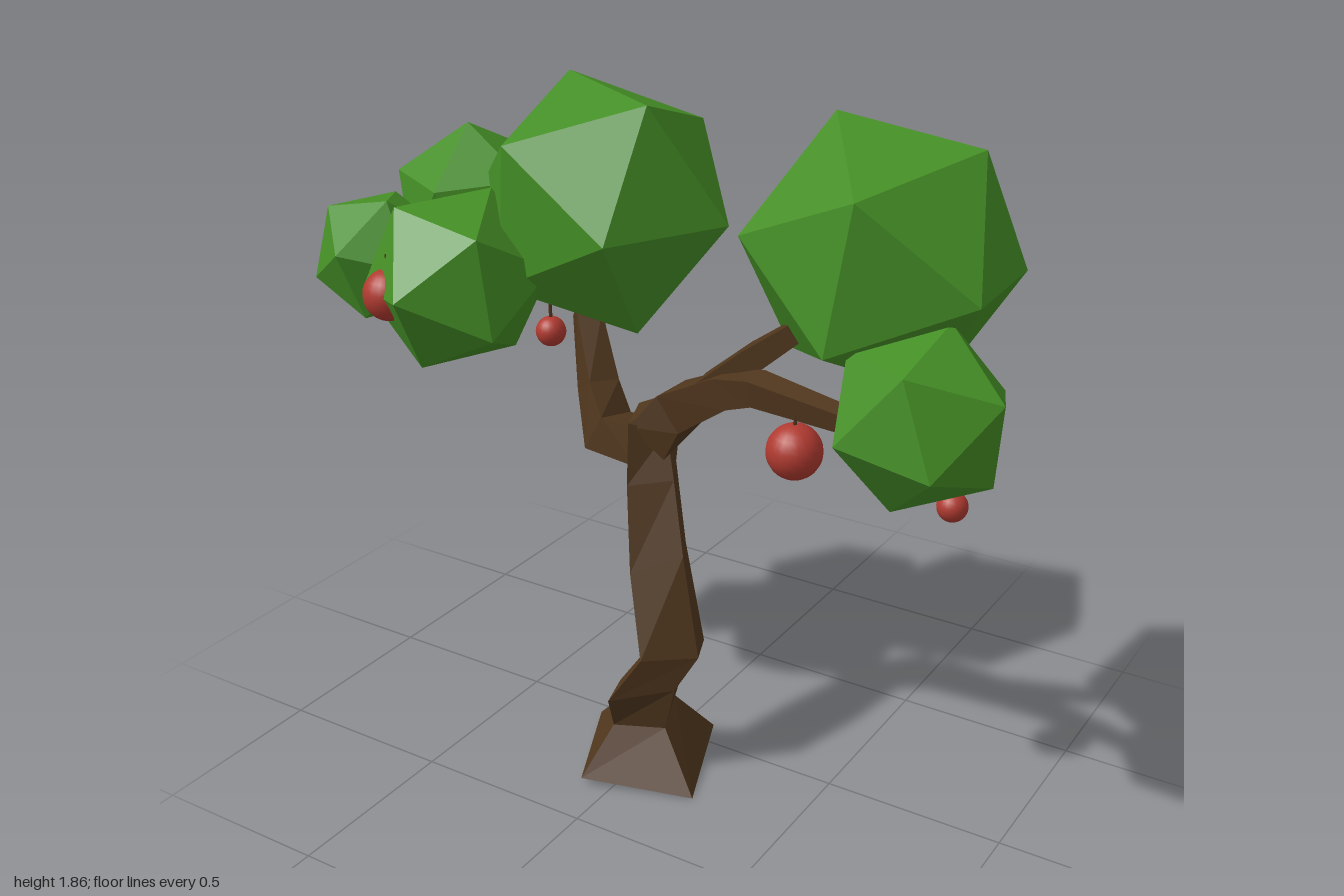
import * as THREE from 'three';

const V = (a) => new THREE.Vector3(...a);
const flat = (color) => new THREE.MeshStandardMaterial({ color, flatShading: true });
const bark = flat(0x4f361d);
const leaf = flat(0x458f26);
const fruit = new THREE.MeshStandardMaterial({ color: 0xb03a30 });

// Skin between rings of corners (counter-clockwise around the limb), closed at both ends
function loft(rings) {
  const pos = [];
  const tri = (...pts) => pts.forEach((p) => pos.push(p.x, p.y, p.z));
  const n = rings[0].length;
  for (let i = 0; i + 1 < rings.length; i++) {
    for (let j = 0; j < n; j++) {
      const k = (j + 1) % n;
      tri(rings[i][j], rings[i][k], rings[i + 1][k]);
      tri(rings[i][j], rings[i + 1][k], rings[i + 1][j]);
    }
  }
  const first = rings[0], last = rings[rings.length - 1];
  for (let j = 1; j + 1 < n; j++) {
    tri(first[0], first[j + 1], first[j]);
    tri(last[0], last[j], last[j + 1]);
  }
  const g = new THREE.BufferGeometry();
  g.setAttribute('position', new THREE.Float32BufferAttribute(pos, 3));
  g.computeVertexNormals();
  return g;
}

// Four-sided branch along points [x, y, z, radius]
function branch(points) {
  const c = points.map((p) => V(p.slice(0, 3)));
  return loft(points.map((p, i) => {
    const t = c[Math.min(i + 1, c.length - 1)].clone().sub(c[Math.max(i - 1, 0)]).normalize();
    const u = new THREE.Vector3(0, 1, 0).cross(t).normalize();
    const w = t.clone().cross(u);
    return [0, 1, 2, 3].map((j) => {
      const a = (j + 0.6) * Math.PI / 2;
      return c[i].clone().addScaledVector(u, p[3] * Math.cos(a)).addScaledVector(w, p[3] * Math.sin(a));
    });
  }));
}

// Icosahedron turned so two neighbouring corners point along a and b
function crown(r, a, b) {
  const g = new THREE.IcosahedronGeometry(r, 0);
  const va = V(a).normalize(), vb = V(b).normalize();
  const z = va.clone().add(vb).normalize();
  const y = va.clone().sub(vb).normalize();
  const x = y.clone().cross(z);
  return g.applyMatrix4(new THREE.Matrix4().makeBasis(x, y, z));
}

export function createModel() {
  const model = new THREE.Group();
  const add = (name, geometry, material, at = [0, 0, 0]) => {
    const m = new THREE.Mesh(geometry, material);
    m.name = name;
    m.position.set(...at);
    model.add(m);
  };

  // Trunk: flared foot, kink, then a lean to the fork
  const trunk = [
    [[-0.08, 0.02, 0.365], [0.215, 0, 0.26], [0.095, 0.02, -0.055], [-0.22, 0.02, 0.06]],
    [[-0.04, 0.15, 0.26], [0.09, 0.15, 0.2], [0.04, 0.17, 0.07], [-0.09, 0.16, 0.13]],
    [[-0.03, 0.25, 0.3], [0.12, 0.28, 0.2], [0.07, 0.27, 0.07], [-0.09, 0.22, 0.15]],
    [[0.05, 0.38, 0.26], [0.177, 0.385, 0.17], [0.135, 0.38, 0.07], [0, 0.35, 0.14]],
    [[-0.02, 0.6, 0.2], [0.11, 0.66, 0.14], [0.06, 0.65, 0.045], [-0.06, 0.58, 0.11]],
    [[-0.06, 0.83, 0.15], [0.05, 0.85, 0.09], [0, 0.87, 0], [-0.1, 0.8, 0.06]],
    [[-0.07, 1.0, 0.125], [0.01, 0.97, 0.06], [-0.02, 1.04, -0.075], [-0.11, 1.01, 0.01]],
  ];
  add('trunk', loft(trunk.map((ring) => ring.map(V))), bark);

  // Branches
  add('rightBranch', branch([[-0.04, 0.95, 0.04, 0.09], [0.04, 1.04, 0.035, 0.08],
    [0.24, 1.165, 0.125, 0.06], [0.34, 1.2, 0.165, 0.05], [0.62, 1.19, 0.21, 0.034]]), bark);
  add('rightFork', branch([[0.16, 1.13, 0.09, 0.058], [0.29, 1.25, 0.095, 0.046],
    [0.41, 1.345, 0.1, 0.036]]), bark);
  add('leftBranch', branch([[-0.04, 0.92, 0.06, 0.075], [-0.19, 0.925, 0.045, 0.08],
    [-0.25, 1.03, 0, 0.062], [-0.33, 1.2, -0.07, 0.05], [-0.345, 1.29, -0.14, 0.045],
    [-0.368, 1.38, -0.37, 0.036], [-0.368, 1.42, -0.5, 0.02]]), bark);

  // Leaf clumps: centre, radius and two neighbouring corners
  [
    ['upperLeftLeaves', [-0.27, 1.526, -0.07], 0.363, [0.36, -0.03, -0.037], [0.13, 0.19, -0.28]],
    ['upperRightLeaves', [0.567, 1.53, -0.04], 0.36, [-0.14, 0.335, 0.01], [0.05, 0.22, 0.3]],
    ['frontLeftLeaves', [-0.528, 1.355, 0.243], 0.254, [0, 0, 1], [0.643, 0.621, 0.447]],
    ['outerLeftLeaves', [-0.825, 1.36, 0.2], 0.19, [-0.17, 0, -0.08], [-0.12, 0.13, 0.06]],
    ['backLeftLeaves', [-0.69, 1.46, -0.06], 0.235, [-0.015, -0.08, -0.22], [-0.21, -0.1, -0.03]],
    ['lowerRightLeaves', [0.78, 1.225, 0.18], 0.234, [0.21, 0.085, 0.03], [0.17, -0.14, -0.03]],
  ].forEach(([name, at, r, a, b]) => add(name, crown(r, a, b), leaf, at));

  // Hanging fruit
  [
    [0.47, 1.08, 0.21, 0.071], [0.86, 1.005, 0.145, 0.038],
    [-0.63, 1.335, 0.395, 0.069], [-0.39, 1.165, 0.02, 0.042],
  ].forEach(([x, y, z, r]) => {
    add('fruit', new THREE.SphereGeometry(r, 20, 14), fruit, [x, y, z]);
    add('fruitStem', new THREE.CylinderGeometry(0.005, 0.005, 0.05, 5), bark, [x, y + r + 0.015, z]);
  });

  return model;
}
